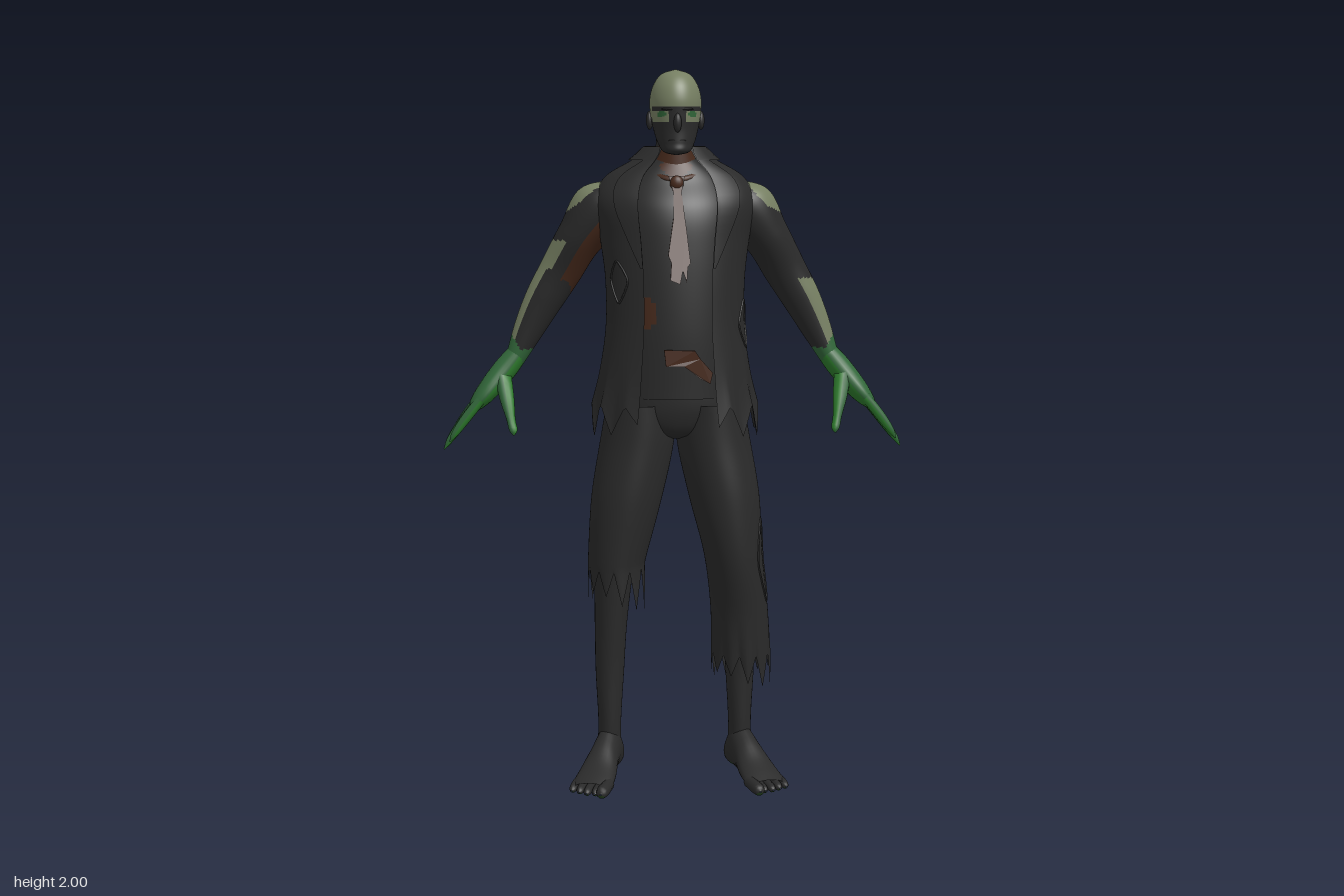
import * as THREE from 'three';

const paint = (name, color, side = THREE.FrontSide) =>
  Object.assign(new THREE.MeshStandardMaterial({ color, side }), { name });

export function createModel() {
  const model = new THREE.Group();
  model.name = 'raggedFigure';
  const TWO = THREE.DoubleSide, TAU = Math.PI * 2, FRONT = Math.PI / 2;
  const mats = [
    paint('charcoal', 0x2a2a2a, TWO), paint('paleGreen', 0x767f62), paint('green', 0x32673a),
    paint('brown', 0x46291b, TWO), paint('brightGreen', 0x2d7a2c), paint('moss', 0x223d1c),
  ];
  const DARK = 0, PALE = 1, GREEN = 2, BROWN = 3, BRIGHT = 4, MOSS = 5;

  const add = (name, geo, mat, parent = model) => {
    const mesh = new THREE.Mesh(geo, mat);
    mesh.name = name;
    parent.add(mesh);
    return mesh;
  };

  // Smooth tube surface through rings [x, y, z, radiusX, radiusZ, tilt], listed downwards
  const surface = (rings) => {
    const mid = new THREE.CatmullRomCurve3(rings.map(r => new THREE.Vector3(r[0], r[1], r[2])), false, 'catmullrom');
    const size = new THREE.CatmullRomCurve3(rings.map(r => new THREE.Vector3(r[3], r[4], r[5] || 0)), false, 'catmullrom');
    return (a, v, grow = 0) => {
      const p = mid.getPoint(v), s = size.getPoint(v);
      const c = Math.cos(a) * (Math.max(s.x, 0.001) + grow);
      return new THREE.Vector3(p.x + c * Math.cos(s.z), p.y + c * Math.sin(s.z),
        p.z + Math.sin(a) * (Math.max(s.y, 0.001) + grow));
    };
  };

  // Uneven triangular teeth for torn hems
  const teeth = (a, n) => {
    const t = (((a / TAU) * n) % n + n) % n, k = Math.floor(t);
    return (1 - Math.abs(2 * (t - k) - 1)) * (0.45 + 0.55 * Math.abs(Math.sin(k * 2.7 + n)));
  };

  // Skin a surface; colour picks a material index for each cell
  const skin = (name, rings, { nu = 28, nv = 28, colour = () => DARK, range, v0 = 0, v1 = 1, grow = 0, hem = 0, count = 11 } = {}) => {
    const at = surface(rings), pos = [], faces = mats.map(() => []);
    const cols = range ? nu + 1 : nu;
    for (let j = 0; j <= nv; j++) {
      const v = v0 + (v1 - v0) * j / nv, [a0, a1] = range ? range(v) : [0, TAU];
      for (let i = 0; i < cols; i++) {
        const a = a0 + (a1 - a0) * i / nu, p = at(a, v, grow);
        if (hem) p.y -= hem * teeth(a, count) * THREE.MathUtils.smoothstep(v, 0.8, 1);
        pos.push(p.x, p.y, p.z);
      }
    }
    for (let j = 0; j < nv; j++) for (let i = 0; i < nu; i++) {
      const k = (i + 1) % cols, a = j * cols + i, b = j * cols + k, c = a + cols, d = b + cols;
      const v = v0 + (v1 - v0) * (j + 0.5) / nv, [a0, a1] = range ? range(v) : [0, TAU];
      const ang = a0 + (a1 - a0) * (i + 0.5) / nu;
      faces[colour(at(ang, v, grow), ang, v)].push(a, b, c, b, d, c);
    }
    const geo = new THREE.BufferGeometry();
    geo.setAttribute('position', new THREE.Float32BufferAttribute(pos, 3));
    geo.setIndex(faces.flat());
    let start = 0;
    faces.forEach((f, m) => { if (f.length) geo.addGroup(start, f.length, m); start += f.length; });
    geo.computeVertexNormals();
    return add(name, geo, mats);
  };

  // Frayed rim of a ragged hole lying on a surface
  const tear = (name, rings, a, v, da, dv) => {
    const at = surface(rings), pts = [];
    for (let i = 0; i < 12; i++) {
      const t = i / 12 * TAU, r = i % 3 ? 0.85 : 1;
      pts.push(at(a + da * r * Math.cos(t), v + dv * r * Math.sin(t), 0.001));
    }
    add(name, new THREE.TubeGeometry(new THREE.CatmullRomCurve3(pts, true), 48, 0.003, 5, true), mats[DARK]);
  };

  const blob = (name, x, y, z, sx, sy, sz, m) => {
    const mesh = add(name, new THREE.SphereGeometry(1, 16, 12), mats[m]);
    mesh.position.set(x, y, z);
    mesh.scale.set(sx, sy, sz);
    return mesh;
  };

  // Bare patches on the shoulders; the right one runs onto the back
  const patch = (p) => p.x > 0
    ? Math.hypot(p.x - 0.25, p.y - 1.66, p.z + 0.095) < 0.072
    : Math.hypot((p.x + 0.215) / 0.115, (p.y - 1.645) / 0.068, (p.z + 0.14) / 0.11) < 1;

  // Head and neck
  skin('head', [
    [0, 2, -0.022, 0.002, 0.002], [0, 1.988, -0.022, 0.038, 0.055], [0, 1.96, -0.02, 0.06, 0.084],
    [0, 1.92, -0.02, 0.071, 0.098], [0, 1.875, -0.018, 0.069, 0.094], [0, 1.835, -0.008, 0.061, 0.08],
    [0, 1.8, 0.01, 0.05, 0.062], [0, 1.776, 0.028, 0.035, 0.043], [0, 1.767, 0.03, 0.003, 0.003],
  ], {
    nu: 72, nv: 90, colour: (p) => {
      const x = Math.abs(p.x);
      if (p.z > 0.03 && Math.hypot((x - 0.042) * 0.7, p.y - 1.878) < 0.008) return GREEN;
      if (p.z > 0.01) return p.y > 1.898 || (x > 0.022 && p.y > 1.858 && p.y < 1.886) ? PALE : DARK;
      return p.y > 1.868 + 0.006 * Math.sin(p.z * 90) ? PALE : DARK;
    },
  });
  skin('neck', [[0, 1.86, -0.05, 0.052, 0.055], [0, 1.78, -0.05, 0.055, 0.058], [0, 1.7, -0.06, 0.08, 0.07]],
    { colour: (p) => p.z > -0.03 && p.y < 1.79 && p.y > 1.745 - Math.abs(p.x) ? BROWN : DARK });
  blob('nose', 0, 1.855, 0.077, 0.011, 0.026, 0.014, DARK);
  blob('brow', 0, 1.892, 0.065, 0.044, 0.005, 0.012, DARK);
  blob('mouth', 0, 1.807, 0.066, 0.024, 0.003, 0.006, DARK);
  for (const s of [-1, 1]) blob('ear', s * 0.071, 1.862, -0.03, 0.01, 0.026, 0.016, DARK).rotation.x = -0.2;

  // Shirt
  skin('shirt', [
    [0, 1.76, -0.06, 0.06, 0.06], [0, 1.7, -0.07, 0.14, 0.1], [0, 1.62, -0.06, 0.18, 0.14],
    [0, 1.5, -0.04, 0.18, 0.14], [0, 1.3, -0.03, 0.175, 0.14], [0, 1.1, -0.03, 0.175, 0.135],
  ], {
    nu: 72, nv: 72, colour: (p) => p.z > 0 && (Math.abs(p.x) < 0.045 && p.y > 1.69 + Math.abs(p.x)
      || Math.hypot(p.x + 0.09, (p.y - 1.335) * 0.65) < 0.028) ? BROWN : DARK,
  });

  // Open jacket with collar, lapels and torn holes
  const jacket = [
    [0, 1.79, -0.062, 0.075, 0.075], [0, 1.755, -0.07, 0.115, 0.105], [0, 1.705, -0.075, 0.195, 0.13],
    [0, 1.635, -0.06, 0.225, 0.153], [0, 1.53, -0.052, 0.208, 0.16], [0, 1.42, -0.038, 0.195, 0.155],
    [0, 1.29, -0.033, 0.195, 0.155], [0, 1.17, -0.04, 0.212, 0.168], [0, 1.08, -0.045, 0.235, 0.182],
  ];
  skin('jacket', jacket, {
    nu: 132, nv: 60, hem: 0.1, count: 14, colour: (p) => patch(p) ? PALE : DARK,
    range: () => [FRONT + 0.5, FRONT + TAU - 0.5],
  });
  skin('collar', jacket, { nv: 8, v1: 0.13, grow: 0.012, range: () => [FRONT + 0.5, FRONT + TAU - 0.5] });
  for (const s of [-1, 1]) {
    skin('lapel', jacket, {
      nu: 6, nv: 20, v0: 0.04, v1: 0.58, grow: 0.01,
      range: (v) => {
        const edge = 0.48, w = 0.4 * Math.sin(Math.PI * Math.min(1, (0.6 - v) * 1.5));
        return s > 0 ? [FRONT - edge - w, FRONT - edge] : [FRONT + edge, FRONT + edge + w];
      },
    });
  }
  tear('jacketHole', jacket, 0.24, 0.74, 0.24, 0.065);
  tear('jacketHole', jacket, Math.PI - 0.6, 0.62, 0.2, 0.06);

  // Thin ragged plate; bend sets z from height
  const plate = (name, pts, bend) => {
    const geo = new THREE.ExtrudeGeometry(new THREE.Shape(pts.map(p => new THREE.Vector2(...p))),
      { depth: 0.009, bevelEnabled: false });
    const p = geo.attributes.position;
    for (let i = 0; i < p.count; i++) p.setZ(i, p.getZ(i) + bend(p.getX(i), p.getY(i)));
    geo.computeVertexNormals();
    add(name, geo, mats[BROWN]);
  };
  plate('tie', [[-0.022, 1.71], [0.022, 1.71], [0.012, 1.665], [0.022, 1.57], [0.03, 1.48], [0.022, 1.47], [0.018, 1.43],
    [0.008, 1.46], [0, 1.425], [-0.026, 1.435], [-0.022, 1.48], [-0.03, 1.5], [-0.012, 1.6], [-0.01, 1.665]],
    (x, y) => 0.03 + (1.7 - y) * 0.58);
  blob('tieKnot', 0, 1.69, 0.04, 0.019, 0.022, 0.014, BROWN);
  const band = add('tieBand', new THREE.TorusGeometry(0.068, 0.009, 8, 32), mats[BROWN]);
  band.position.set(0, 1.73, -0.035);
  band.rotation.x = Math.PI / 2 + 0.45;
  plate('brokenBelt', [[-0.04, 1.24], [0.045, 1.238], [0.06, 1.215], [0.095, 1.175], [0.088, 1.145], [0.06, 1.16],
    [0.015, 1.195], [-0.035, 1.195]], (x) => 0.124 - x * x * 2);

  // Trousers, torn at different heights
  skin('trouserSeat', [
    [0, 1.24, -0.035, 0.17, 0.135], [0, 1.12, -0.038, 0.185, 0.138], [0, 1.05, -0.035, 0.18, 0.128],
    [0, 1, -0.03, 0.11, 0.1], [0, 0.98, -0.03, 0.03, 0.05],
  ]);
  const thigh = (s) => [[s * 0.1, 1.08, -0.035, 0.092, 0.135], [s * 0.108, 0.97, -0.03, 0.104, 0.13],
    [s * 0.138, 0.81, -0.02, 0.1, 0.122], [s * 0.165, 0.64, -0.03, 0.083, 0.12]];
  const leftLeg = [...thigh(1), [0.185, 0.48, -0.055, 0.082, 0.11], [0.192, 0.35, -0.07, 0.086, 0.1]];
  const rightLeg = [...thigh(-1), [-0.167, 0.61, -0.03, 0.08, 0.115]];
  skin('leftTrouserLeg', leftLeg, { nu: 88, hem: 0.1, count: 11 });
  skin('rightTrouserLeg', rightLeg, { nu: 88, hem: 0.12, count: 11 });
  tear('trouserHole', leftLeg, 0.35, 0.62, 0.35, 0.15);

  for (const s of [-1, 1]) {
    // Shin
    skin('shin', [[s * 0.172, 0.66, -0.035, 0.06, 0.075], [s * 0.183, 0.45, -0.05, 0.047, 0.064],
      [s * 0.187, 0.3, -0.052, 0.041, 0.05], [s * 0.188, 0.15, -0.058, 0.033, 0.05], [s * 0.19, 0.05, -0.062, 0.034, 0.046]]);

    // Foot and toes, lofted forward and turned outward
    const place = (mesh) => {
      mesh.geometry.rotateX(-FRONT).rotateY(s * 0.27).translate(s * 0.188, 0, -0.052);
    };
    const sole = (p, a) => Math.sin(a) < -0.8 ? MOSS : DARK;
    place(skin('foot', [[0, 0.066, 0.035, 0.004, 0.01], [0, 0.05, 0.04, 0.03, 0.038], [0, 0, 0.068, 0.036, 0.066],
      [0, -0.07, 0.056, 0.042, 0.054], [0, -0.14, 0.035, 0.053, 0.034], [0, -0.2, 0.022, 0.056, 0.021],
      [0, -0.228, 0.018, 0.045, 0.013]], { colour: sole }));
    for (let i = 0; i < 5; i++) {
      const x = s * (-0.042 + i * 0.023), end = 0.28 - i * 0.009 - (i === 1 ? 0.01 : 0), r = i ? 0.011 : 0.017;
      place(skin('toe', [[x, -0.19, 0.02, r, r], [x, -end + 0.015, r + 0.002, r, r], [x, -end, r, 0.002, 0.002]],
        { nu: 10, nv: 8, colour: sole }));
    }

    // Arm with bare and stained areas
    const limb = (rows) => rows.map(r => [r[0] * s, r[1], r[2], r[3], r[4], (r[5] || 0) * s]);
    skin('arm', limb([
      [0.12, 1.66, -0.09, 0.05, 0.075, 0.9], [0.2, 1.615, -0.1, 0.085, 0.09, 0.75], [0.265, 1.535, -0.115, 0.066, 0.083, 0.62],
      [0.32, 1.44, -0.13, 0.06, 0.06, 0.55], [0.367, 1.36, -0.135, 0.054, 0.05, 0.5], [0.408, 1.28, -0.14, 0.044, 0.044, 0.4],
      [0.45, 1.19, -0.14, 0.028, 0.036, 0.4],
    ]), {
      nu: 72, nv: 90, colour: (p, a) => {
        const out = Math.cos(a) * s, fore = Math.sin(a);
        if (p.y < 1.22 + 0.04 * Math.max(0, out)) return GREEN;
        if (patch(p)) return PALE;
        if (s > 0) return p.y < 1.42 && out > 0.3 ? PALE : DARK;
        if (p.y < 1.53 && (out > (p.y > 1.45 ? 0.4 : 0.65) || (fore < 0 && out > -0.15))) return PALE;
        return out < -0.15 && p.y > 1.36 + 0.06 * fore && p.y < 1.6 ? BROWN : DARK;
      },
    });

    // Hand, brighter on the palm side
    const stain = (p, a) => Math.cos(a) * s < -0.25 ? BRIGHT : GREEN;
    const digit = { nu: 12, nv: 12, colour: stain };
    skin('palm', limb([[0.44, 1.21, -0.14, 0.03, 0.036, 0.45], [0.48, 1.16, -0.137, 0.034, 0.046, 0.65],
      [0.53, 1.1, -0.13, 0.03, 0.06, 0.75], [0.565, 1.06, -0.13, 0.019, 0.057, 0.75], [0.575, 1.05, -0.13, 0.004, 0.04, 0.75]]),
      { nu: 24, nv: 16, colour: stain });
    [-0.182, -0.148, -0.113, -0.08].forEach((z, i) => {
      const l = i === 1 || i === 2 ? 1 : 0.8;
      skin('finger', limb([[0.548, 1.08, z, 0.014, 0.014, 0.75], [0.565 + 0.03 * l, 1.065 - 0.045 * l, z, 0.014, 0.013, 0.7],
        [0.565 + 0.07 * l, 1.065 - 0.1 * l, z, 0.01, 0.01, 0.5], [0.565 + 0.089 * l, 1.065 - 0.13 * l, z, 0.002, 0.002, 0.5]]), digit);
    });
    skin('thumb', limb([[0.485, 1.15, -0.11, 0.025, 0.024, 0.2], [0.474, 1.085, -0.075, 0.021, 0.019], [0.463, 1.03, -0.05, 0.013, 0.014],
      [0.456, 1, -0.035, 0.012, 0.011], [0.455, 0.985, -0.03, 0.002, 0.002]]), digit);
  }
  return model;
}
